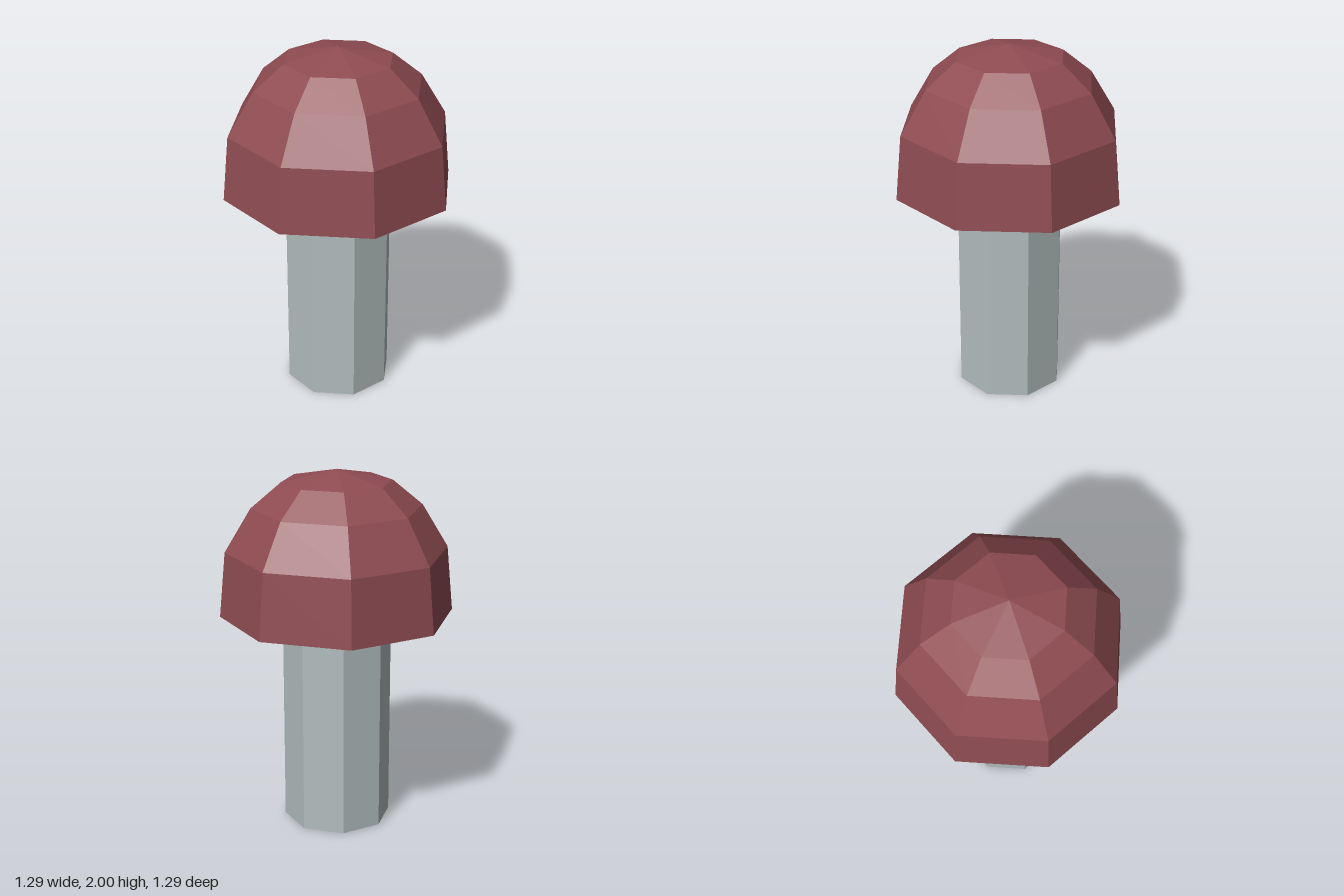
import * as THREE from 'three';

const SIDES = 8;

function material(name, color) {
  const m = new THREE.MeshStandardMaterial({ color, flatShading: true });
  m.name = name;
  return m;
}

// Faceted solid turned from a profile of [radius, height], bottom to top
function turned(name, profile, mat) {
  const points = profile.map(([r, y]) => new THREE.Vector2(r, y));
  const mesh = new THREE.Mesh(new THREE.LatheGeometry(points, SIDES), mat);
  mesh.name = name;
  return mesh;
}

export function createModel() {
  const model = new THREE.Group();
  model.name = 'mushroom';

  const capRed = material('dull red', 0x8f4c52);
  const stemGrey = material('pale grey', 0xb1bdbd);

  // Octagonal stem, closed at both ends
  model.add(turned('stem', [[0, 0], [0.3, 0], [0.3, 1.15], [0, 1.15]], stemGrey));

  // Domed cap with a shallow sloping underside
  model.add(turned('cap', [
    [0.3, 1.15], [0.643, 1.2], [0.608, 1.56],
    [0.465, 1.797], [0.3, 1.935], [0, 2],
  ], capRed));

  return model;
}
